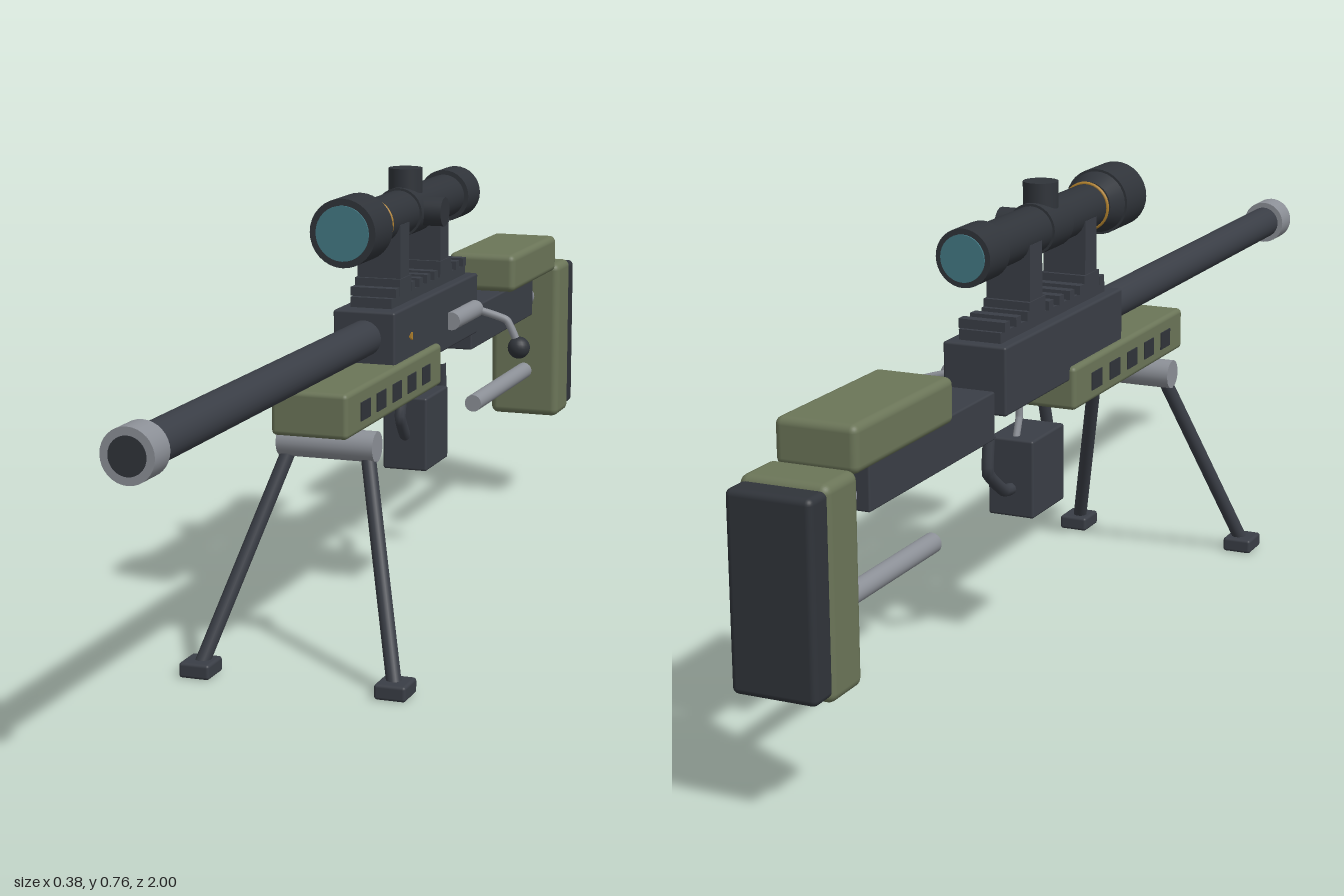
import * as THREE from 'three';
import { RoundedBoxGeometry } from 'three/addons/geometries/RoundedBoxGeometry.js';

const mat = (name, color) => Object.assign(new THREE.MeshStandardMaterial({ color }), { name });

export function createModel() {
  const gun = new THREE.Group();
  gun.name = 'rifle';
  const metal = mat('gunmetal', 0x3a3e46);
  const dark = mat('dark metal', 0x30343a);
  const olive = mat('olive', 0x6b7558);
  const steel = mat('steel', 0x8c9097);
  const glass = mat('lens glass', 0x437984);
  const gold = mat('gold', 0xb0802c);

  const add = (name, geo, material, x = 0, y = 0, z = 0) => {
    const m = new THREE.Mesh(geo, material);
    m.name = name;
    m.position.set(x, y, z);
    gun.add(m);
    return m;
  };
  // Box given by half width and its y and z ranges; r rounds the edges
  const box = (name, material, hx, y0, y1, z0, z1, r = 0, x = 0) => {
    const s = [hx * 2, y1 - y0, z1 - z0];
    const geo = r ? new RoundedBoxGeometry(...s, 3, r) : new THREE.BoxGeometry(...s);
    return add(name, geo, material, x, (y0 + y1) / 2, (z0 + z1) / 2);
  };
  // Cylinder between two points
  const rod = (name, material, a, b, r, r2 = r, seg = 24) => {
    const p = new THREE.Vector3(...a), q = new THREE.Vector3(...b);
    const d = q.clone().sub(p);
    const m = add(name, new THREE.CylinderGeometry(r2, r, d.length(), seg), material);
    m.position.copy(p).add(q).multiplyScalar(0.5);
    m.quaternion.setFromUnitVectors(new THREE.Vector3(0, 1, 0), d.normalize());
    return m;
  };
  const alongZ = (name, material, y, z0, z1, r, r2 = r) =>
    rod(name, material, [0, y, z0], [0, y, z1], r, r2, 32);
  const tube = (name, material, pts, r) => {
    const path = new THREE.CatmullRomCurve3(pts.map(p => new THREE.Vector3(...p)), false, 'catmullrom', 0.2);
    return add(name, new THREE.TubeGeometry(path, 32, r, 10), material);
  };

  // Barrel and muzzle
  alongZ('barrel', metal, 0.5, 0.05, 0.96, 0.03);
  alongZ('muzzle', steel, 0.5, 0.95, 0.999, 0.04);
  alongZ('bore', dark, 0.5, 0.99, 1, 0.028);

  // Receiver and top rail
  box('receiver', metal, 0.054, 0.435, 0.545, -0.375, 0.085, 0.004);
  box('railBase', metal, 0.036, 0.54, 0.562, -0.355, 0.05);
  for (let i = 0; i < 10; i++) {
    const z = 0.03 - i * 0.041;
    box('railTooth', metal, 0.04, 0.562, 0.577, z - 0.009, z + 0.009);
  }
  const mark = add('sideMark', new THREE.CylinderGeometry(0.008, 0.008, 0.004, 3), gold, 0.0555, 0.493, 0.005);
  mark.rotation.z = Math.PI / 2;

  // Scope with mounts, turrets and lenses
  const sy = 0.687;
  for (const z of [-0.012, -0.228]) {
    box('mountFoot', metal, 0.04, 0.562, 0.59, z - 0.03, z + 0.03);
    box('mount', metal, 0.038, 0.575, 0.68, z - 0.023, z + 0.023);
  }
  alongZ('scopeTube', dark, sy, -0.36, 0.12, 0.038);
  alongZ('objective', dark, sy, 0.1, 0.185, 0.056);
  alongZ('objectiveTaper', dark, sy, 0.065, 0.1, 0.04, 0.052);
  alongZ('ocular', dark, sy, -0.41, -0.34, 0.046);
  alongZ('turretCollar', dark, sy, -0.165, -0.09, 0.042);
  alongZ('frontLens', glass, sy, 0.18, 0.188, 0.045);
  alongZ('rearLens', glass, sy, -0.413, -0.405, 0.037);
  add('scopeRing', new THREE.TorusGeometry(0.039, 0.003, 8, 32), gold, 0, sy, 0.055);
  rod('topTurret', dark, [0, sy, -0.127], [0, 0.76, -0.127], 0.029);
  rod('sideTurret', dark, [0, sy, -0.127], [0.071, sy, -0.127], 0.025);

  // Fore-end with slots on both sides
  box('foreEnd', olive, 0.064, 0.385, 0.458, -0.135, 0.34, 0.008);
  for (const side of [-1, 1])
    for (let i = 0; i < 5; i++) {
      const z = 0.257 - i * 0.076;
      box('slot', dark, 0.003, 0.404, 0.434, z - 0.021, z + 0.021, 0, side * 0.063);
    }

  // Bipod
  rod('bipodHub', steel, [-0.082, 0.358, 0.25], [0.082, 0.358, 0.25], 0.025);
  for (const side of [-1, 1]) {
    rod('bipodLeg', metal, [side * 0.066, 0.348, 0.25], [side * 0.163, 0.015, 0.4], 0.012);
    box('bipodFoot', metal, 0.026, 0, 0.025, 0.37, 0.428, 0.005, side * 0.164);
  }

  // Magazine, trigger and guard
  box('magazine', metal, 0.04, 0.23, 0.36, -0.247, -0.125, 0.004);
  tube('trigger', steel, [[0, 0.44, -0.215], [0, 0.39, -0.213], [0, 0.35, -0.228]], 0.006);
  tube('triggerGuard', metal, [[0, 0.39, -0.117], [0, 0.33, -0.1], [0, 0.29, -0.13],
    [0, 0.275, -0.2], [0, 0.28, -0.27], [0, 0.325, -0.33], [0, 0.385, -0.325]], 0.01);

  // Bolt and handle
  rod('bolt', steel, [0.06, 0.485, -0.34], [0.06, 0.485, -0.2], 0.016);
  tube('boltHandle', steel, [[0.06, 0.485, -0.34], [0.118, 0.467, -0.345], [0.139, 0.422, -0.35]], 0.007);
  add('boltKnob', new THREE.SphereGeometry(0.02, 20, 14), dark, 0.14, 0.417, -0.35);

  // Stock
  box('stockBeam', metal, 0.04, 0.4, 0.477, -0.79, -0.385, 0.003);
  alongZ('stockRod', steel, 0.423, -0.88, -0.78, 0.02);
  alongZ('lowerRod', steel, 0.27, -0.88, -0.525, 0.016);
  box('cheekRest', olive, 0.065, 0.478, 0.549, -0.87, -0.572, 0.012);
  box('butt', olive, 0.07, 0.178, 0.49, -0.96, -0.872, 0.014);
  box('buttPad', dark, 0.067, 0.188, 0.482, -1, -0.95, 0.01);

  return gun;
}
